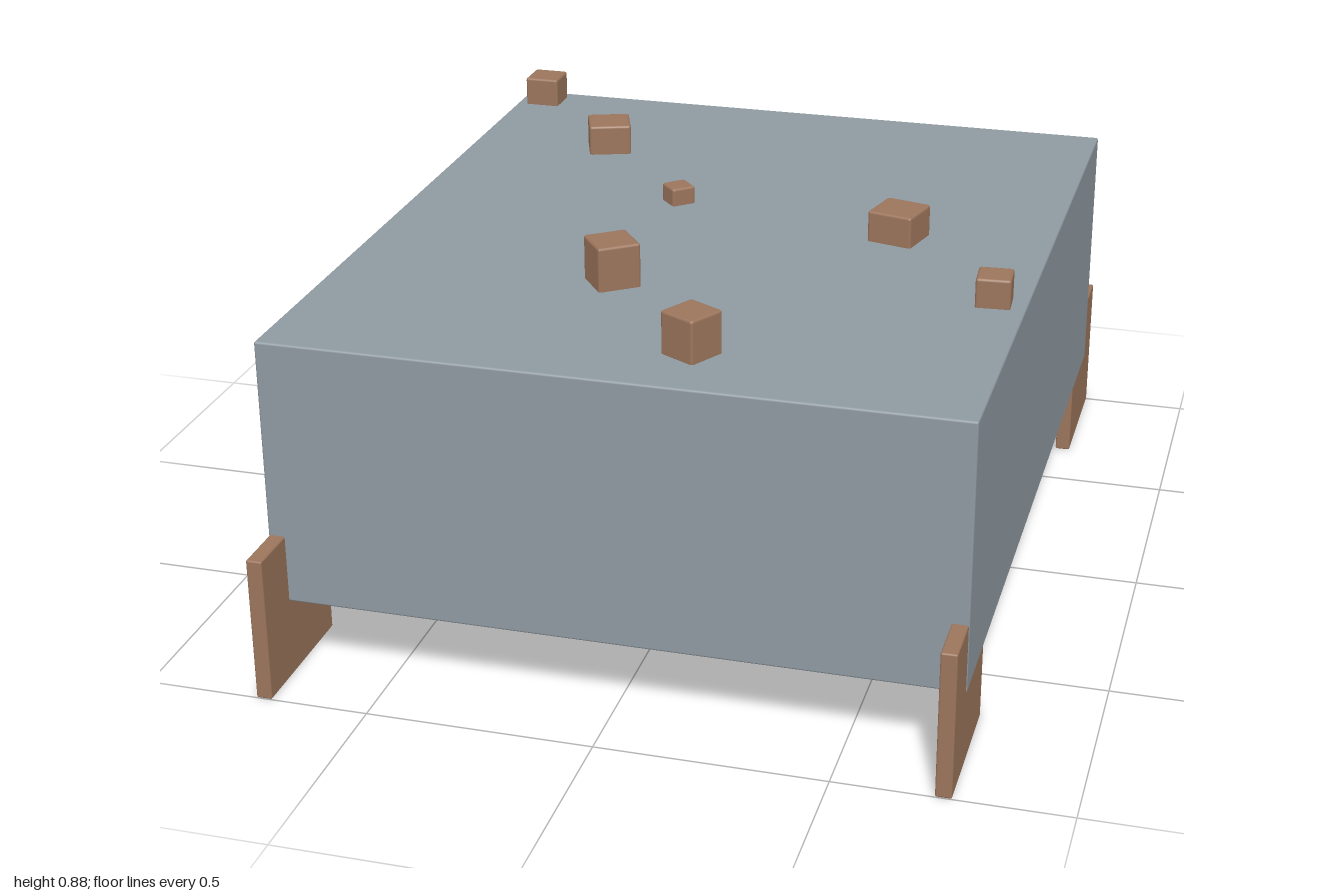
import * as THREE from 'three';
import { RoundedBoxGeometry } from 'three/addons/geometries/RoundedBoxGeometry.js';

export function createModel() {
  const model = new THREE.Group();
  model.name = 'crateTable';
  const stone = new THREE.MeshStandardMaterial({ color: 0x8f9aa1 });
  const wood = new THREE.MeshStandardMaterial({ color: 0x9c755c });

  // Box with lightly eased edges, placed by its centre
  const addBox = (name, size, position, material, bevel, turn = 0) => {
    const mesh = new THREE.Mesh(new RoundedBoxGeometry(...size, 2, bevel), material);
    mesh.name = name;
    mesh.position.set(...position);
    mesh.rotation.y = THREE.MathUtils.degToRad(turn);
    model.add(mesh);
  };

  // Main block
  addBox('body', [1.505, 0.6, 1.76], [0, 0.475, 0], stone, 0.005);

  for (const z of [-1, 1]) {
    // Thin cross rail under the front and back edges
    addBox('crossRail', [1.5, 0.03, 0.022], [0, 0.172, z * 0.835], wood, 0.004);
    // Upright plank legs at the corners
    for (const x of [-1, 1]) {
      addBox('leg', [0.035, 0.33, 0.33], [x * 0.733, 0.165, z * 0.835], wood, 0.004);
    }
  }

  // Loose blocks on top: x, z, side, top height, turn in degrees
  const blocks = [
    [-0.685, -0.81, 0.085, 0.845, 0],
    [-0.412, -0.485, 0.102, 0.847, 20],
    [-0.14, -0.157, 0.058, 0.817, 42],
    [0.407, -0.055, 0.107, 0.847, -14],
    [0.68, 0.272, 0.076, 0.841, 4],
    [-0.138, 0.373, 0.097, 0.875, 37],
    [0.132, 0.702, 0.09, 0.87, -29],
  ];
  for (const [x, z, side, top, turn] of blocks) {
    const base = 0.77;
    addBox('block', [side, top - base, side], [x, (top + base) / 2, z], wood, 0.006, turn);
  }

  return model;
}
